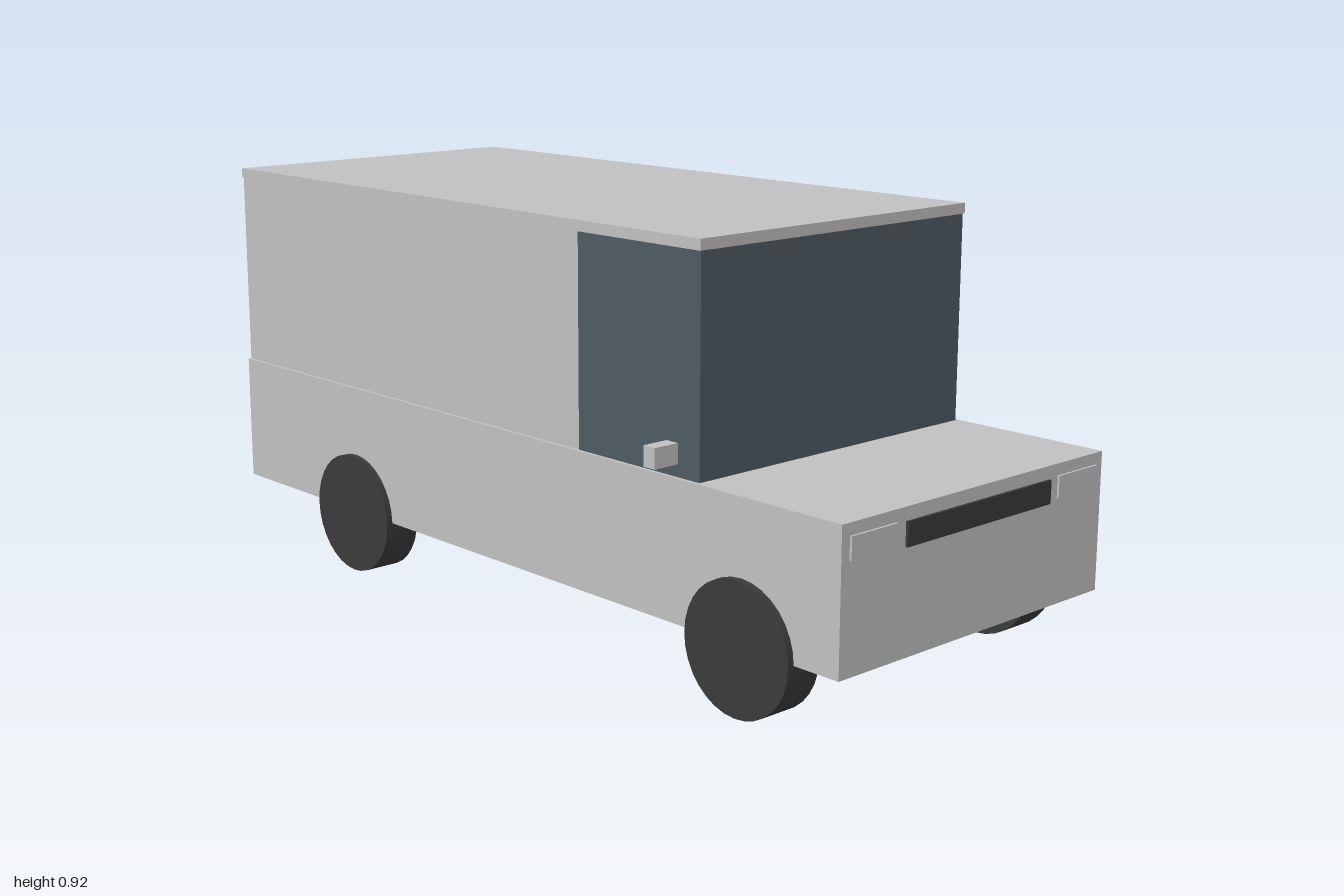
import * as THREE from 'three';

const paint = new THREE.MeshStandardMaterial({ name: 'bodyGrey', color: 0xc0c0c0 });
const glass = new THREE.MeshStandardMaterial({ name: 'darkGlass', color: 0x4f5a62 });
const rubber = new THREE.MeshStandardMaterial({ name: 'rubberBlack', color: 0x3a3a3a });
const red = new THREE.MeshStandardMaterial({ name: 'lampRed', color: 0xc43636 });

export function createModel() {
  const van = new THREE.Group();
  van.name = 'van';

  // Box given by its lower and upper limits on each axis
  const box = (name, material, [x0, x1], [y0, y1], [z0, z1]) => {
    const mesh = new THREE.Mesh(new THREE.BoxGeometry(x1 - x0, y1 - y0, z1 - z0), material);
    mesh.position.set((x0 + x1) / 2, (y0 + y1) / 2, (z0 + z1) / 2);
    mesh.name = name;
    van.add(mesh);
  };
  // The same box on both sides of the van
  const pair = (name, material, [x0, x1], y, z) => {
    box(name + 'Left', material, [x0, x1], y, z);
    box(name + 'Right', material, [-x1, -x0], y, z);
  };

  // Body: lower shell with bonnet, glazed cab, cargo box and roof
  box('lowerBody', paint, [-0.398, 0.398], [0.142, 0.441], [-0.996, 0.994]);
  box('cabGlass', glass, [-0.39, 0.39], [0.441, 0.895], [0.262, 0.618]);
  box('cargoBox', paint, [-0.39, 0.39], [0.441, 0.895], [-0.996, 0.262]);
  box('roof', paint, [-0.394, 0.394], [0.895, 0.918], [-0.996, 0.62]);

  // Front details
  box('grille', rubber, [-0.22, 0.22], [0.363, 0.413], [0.994, 1]);
  pair('headlight', paint, [0.248, 0.376], [0.369, 0.416], [0.994, 0.999]);
  pair('mirror', paint, [0.39, 0.452], [0.467, 0.51], [0.525, 0.557]);

  // Rear details
  pair('rearWindow', glass, [0.037, 0.317], [0.623, 0.84], [-1, -0.996]);
  pair('tailLight', red, [0.333, 0.386], [0.297, 0.417], [-1, -0.996]);

  // Wheels
  const wheelGeometry = new THREE.CylinderGeometry(0.14, 0.14, 0.086, 32).rotateZ(Math.PI / 2);
  for (const [end, z] of [['front', 0.742], ['rear', -0.535]]) {
    for (const [side, x] of [['Left', 0.37], ['Right', -0.37]]) {
      const wheel = new THREE.Mesh(wheelGeometry, rubber);
      wheel.name = `${end}Wheel${side}`;
      wheel.position.set(x, 0.14, z);
      van.add(wheel);
    }
  }
  return van;
}
